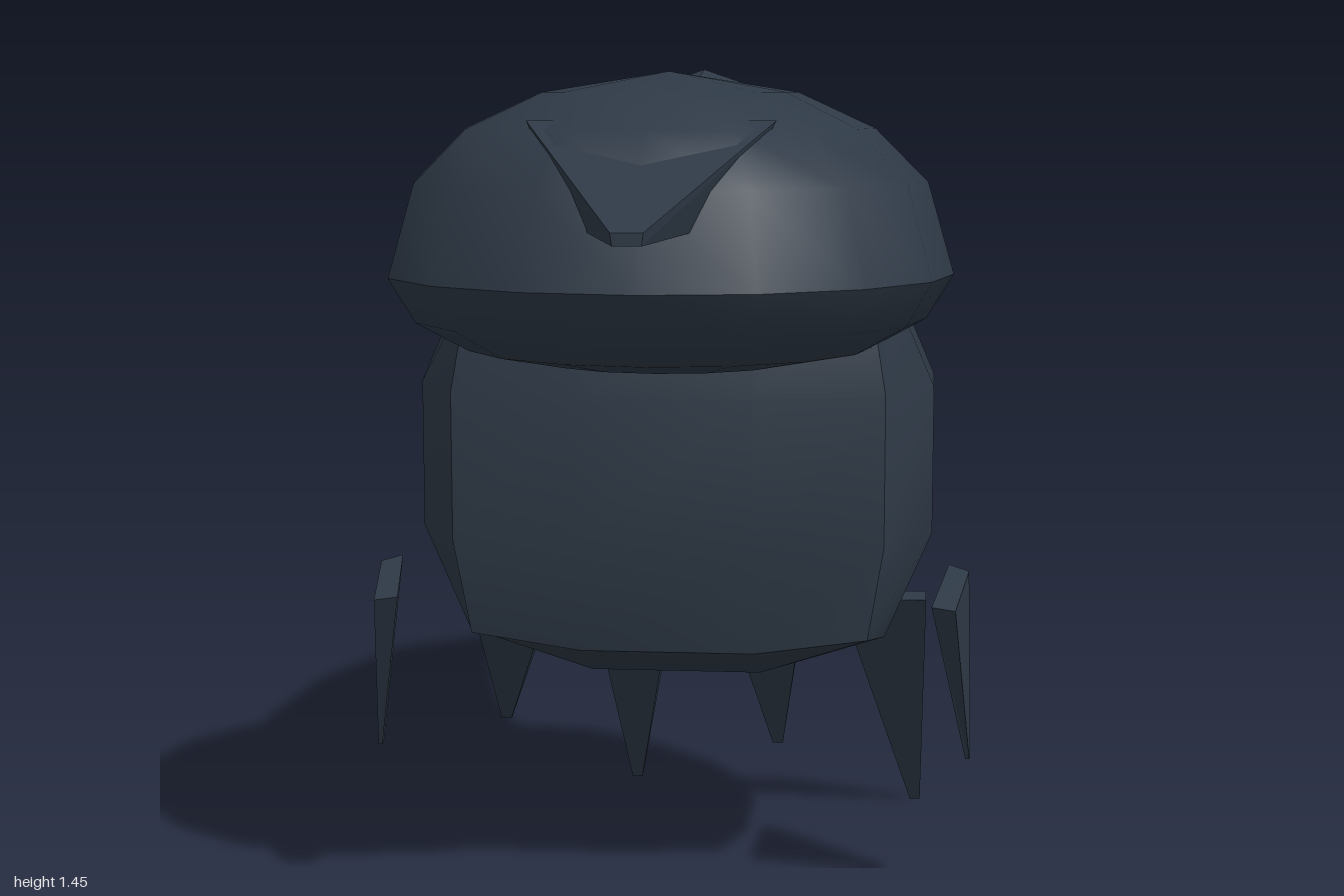
import * as THREE from 'three';

const slate = new THREE.MeshStandardMaterial({ color: 0x2e3946 });
slate.name = 'slate';

// Faceted solid through closed cross-sections (equal point counts), capped at both ends
function loft(rings) {
  const n = rings[0].length;
  const tris = [];
  for (let r = 0; r + 1 < rings.length; r++) {
    for (let i = 0; i < n; i++) {
      const j = (i + 1) % n;
      const [a, b, c, d] = [rings[r][i], rings[r][j], rings[r + 1][j], rings[r + 1][i]];
      tris.push([a, b, c], [a, c, d]);
    }
  }
  const first = rings[0], last = rings[rings.length - 1];
  for (let i = 1; i + 1 < n; i++) {
    tris.push([first[0], first[i + 1], first[i]], [last[0], last[i], last[i + 1]]);
  }
  // Signed volume tells whether the faces point outward
  const v = tris.map(t => t.map(p => new THREE.Vector3(...p)));
  const volume = v.reduce((s, [a, b, c]) => s + a.dot(b.clone().cross(c)), 0);
  if (volume < 0) v.forEach(t => t.reverse());
  const geo = new THREE.BufferGeometry().setFromPoints(v.flat());
  geo.computeVertexNormals();
  return geo;
}

// Rectangle in the plane y = const
const rect = (x, y, z, hx, hz) => [
  [x - hx, y, z - hz], [x + hx, y, z - hz], [x + hx, y, z + hz], [x - hx, y, z + hz],
];

// Box with bulging faces, rounded by pulling edges and corners inward
function bulgedBox(hx, hy, hz) {
  const geo = new THREE.BoxGeometry(2, 2, 2, 3, 3, 3);
  const pos = geo.attributes.position;
  const pull = [1, 1, 0.82, 0.76];
  for (let i = 0; i < pos.count; i++) {
    const p = [pos.getX(i), pos.getY(i), pos.getZ(i)];
    const extremes = p.filter(c => Math.abs(c) > 0.9).length;
    const q = p.map(c => (Math.abs(c) > 0.9 ? c * pull[extremes] : c));
    pos.setXYZ(i, q[0] * hx, q[1] * hy, q[2] * hz);
  }
  geo.computeVertexNormals();
  return geo;
}

export function createModel() {
  const model = new THREE.Group();
  const add = (name, geo, parent = model) => {
    const mesh = new THREE.Mesh(geo, slate);
    mesh.name = name;
    parent.add(mesh);
    return mesh;
  };

  // Body
  add('body', bulgedBox(0.455, 0.39, 0.325)).position.set(0, 0.765, 0.185);

  // Head: two smooth halves meeting at a sharp rim
  const head = new THREE.Group();
  head.name = 'head';
  head.position.z = 0.4;
  head.scale.z = 1.03;
  model.add(head);
  const halves = {
    headUnderside: [[0, 0.938], [0.22, 0.95], [0.35, 0.975], [0.44, 1.025], [0.485, 1.1]],
    headDome: [[0.485, 1.1], [0.44, 1.255], [0.35, 1.345], [0.22, 1.405], [0, 1.44]],
  };
  for (const [name, profile] of Object.entries(halves)) {
    add(name, new THREE.LatheGeometry(profile.map(p => new THREE.Vector2(...p)), 16), head);
  }

  // Crest: hexagonal sections sweeping back to a point
  const hex = (top, side, low, bottom) => [
    [0, ...top], side, low, [0, ...bottom],
    [-low[0], low[1], low[2]], [-side[0], side[1], side[2]],
  ];
  add('crest', loft([
    hex([1.39, 0.12], [0.265, 1.31, 0.08], [0.22, 1.13, 0], [1.06, -0.03]),
    hex([1.45, -0.26], [0.19, 1.385, -0.27], [0.17, 1.24, -0.28], [1.175, -0.285]),
    hex([1.355, -0.68], [0.115, 1.32, -0.67], [0.09, 1.238, -0.63], [1.19, -0.63]),
    hex([1.105, -1], [0.004, 1.103, -1], [0.004, 1.1, -1], [1.098, -1]),
  ]));

  // Beak
  const trapezoid = (wTop, yTop, zTop, wLow, yLow, zLow) => [
    [-wTop, yTop, zTop], [wTop, yTop, zTop], [wLow, yLow, zLow], [-wLow, yLow, zLow],
  ];
  add('beak', loft([
    trapezoid(0.2, 1.36, 0.68, 0.12, 1.2, 0.75),
    trapezoid(0.025, 1.2, 1, 0.022, 1.18, 1),
  ]));

  // Rear claws: [top x, top z, tip x, tip y, tip z]
  const claws = [
    [-0.35, -0.03, -0.39, 0.16, -0.17],
    [-0.12, -0.07, -0.138, 0.015, -0.28],
    [0.135, -0.07, 0.153, 0.105, -0.235],
    [0.365, -0.02, 0.43, 0, -0.222],
  ];
  for (const [x, z, tx, ty, tz] of claws) {
    add('rearClaw', loft([rect(x, 0.457, z, 0.082, 0.043), rect(tx, ty, tz, 0.01, 0.004)]));
  }

  // Side claws, mirrored
  for (const s of [1, -1]) {
    const mirror = ring => ring.map(([x, y, z]) => [s * x, y, z]);
    add(s > 0 ? 'leftClaw' : 'rightClaw', loft([
      mirror([[0.455, 0.55, 0.53], [0.495, 0.545, 0.535], [0.52, 0.58, 0.36], [0.485, 0.588, 0.342]]),
      mirror([[0.518, 0.252, 0.39], [0.525, 0.252, 0.39], [0.527, 0.25, 0.37], [0.52, 0.25, 0.37]]),
    ]));
  }

  return model;
}
